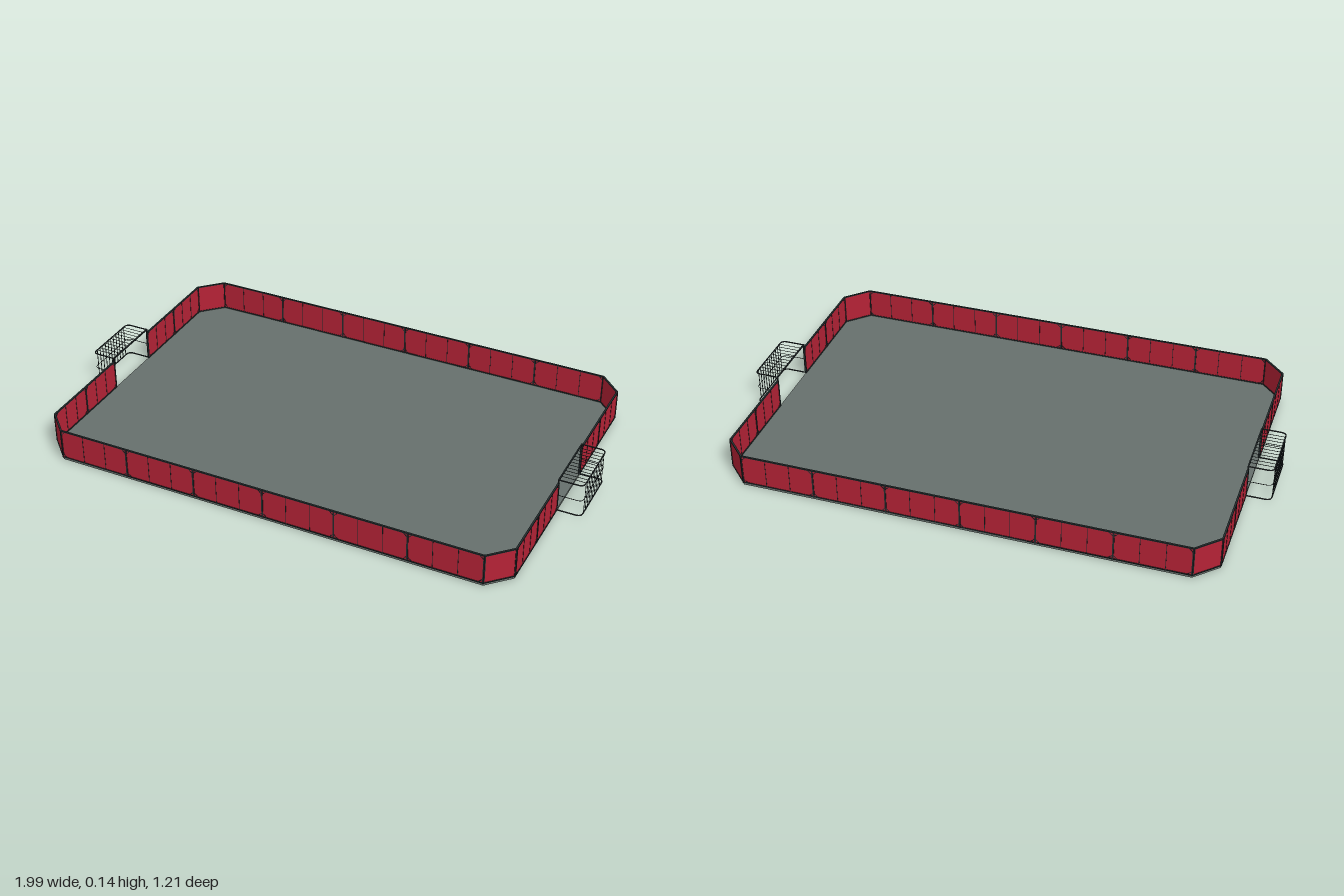
import * as THREE from 'three';

const red = new THREE.MeshStandardMaterial({ color: 0xb52236 });
red.name = 'red panel';
const dark = new THREE.MeshStandardMaterial({ color: 0x232b2d });
dark.name = 'dark steel';
const grey = new THREE.MeshStandardMaterial({ color: 0x66706c });
grey.name = 'grey floor';

const X = 0.903, Z = 0.603, CUT = 0.08;
const BASE = 0.01, TOP = 0.126, MID = (BASE + TOP) / 2;

function box(parent, name, mat, size, pos, rotZ = 0) {
  const mesh = new THREE.Mesh(new THREE.BoxGeometry(...size), mat);
  mesh.name = name;
  mesh.position.set(...pos);
  mesh.rotation.z = rotZ;
  parent.add(mesh);
}

// One framed fence bay from a to b ([x, z]); bays wider than one sheet get slats and braces
function fenceBay(a, b, sheets) {
  const bay = new THREE.Group();
  bay.name = 'fenceBay';
  const dx = b[0] - a[0], dz = b[1] - a[1], len = Math.hypot(dx, dz);
  bay.position.set((a[0] + b[0]) / 2, 0, (a[1] + b[1]) / 2);
  bay.rotation.y = -Math.atan2(dz, dx);
  box(bay, 'panel', red, [len, TOP - BASE, 0.003], [0, MID, 0]);
  box(bay, 'topRail', dark, [len, 0.004, 0.007], [0, TOP - 0.001, 0]);
  box(bay, 'bottomRail', dark, [len, 0.004, 0.007], [0, BASE + 0.002, 0]);
  for (const s of [-1, 1]) {
    box(bay, 'post', dark, [0.004, TOP - BASE, 0.008], [s * (len / 2 - 0.001), MID, 0]);
    if (sheets === 1) continue;
    for (const v of [-1, 1]) {
      box(bay, 'cornerBrace', dark, [0.022, 0.0025, 0.005],
        [s * (len / 2 - 0.009), MID + v * 0.048, 0], -s * v * Math.PI / 4);
    }
  }
  for (let i = 1; i < sheets; i++) {
    box(bay, 'slat', dark, [0.002, TOP - BASE, 0.005], [-len / 2 + len * i / sheets, MID, 0]);
  }
  return bay;
}

// Goal cage on the +x end
const GX = 0.994, GZ = 0.12, GLOW = 0.012, GHIGH = 0.14, R = 0.02;

function hoop(parent, name, y, radius) {
  const p = (x, z) => new THREE.Vector3(x, y, z);
  const path = new THREE.CurvePath();
  path.add(new THREE.LineCurve3(p(X, GZ), p(GX - R, GZ)));
  path.add(new THREE.QuadraticBezierCurve3(p(GX - R, GZ), p(GX, GZ), p(GX, GZ - R)));
  path.add(new THREE.LineCurve3(p(GX, GZ - R), p(GX, R - GZ)));
  path.add(new THREE.QuadraticBezierCurve3(p(GX, R - GZ), p(GX, -GZ), p(GX - R, -GZ)));
  path.add(new THREE.LineCurve3(p(GX - R, -GZ), p(X, -GZ)));
  const mesh = new THREE.Mesh(new THREE.TubeGeometry(path, 80, radius, 6), dark);
  mesh.name = name;
  parent.add(mesh);
}

function goal() {
  const g = new THREE.Group();
  g.name = 'goal';
  const h = GHIGH - GLOW, my = (GHIGH + GLOW) / 2;
  hoop(g, 'goalTopFrame', GHIGH, 0.0025);
  hoop(g, 'goalMiddleBar', 0.075, 0.0012);
  hoop(g, 'goalBottomFrame', GLOW, 0.0025);
  box(g, 'crossbar', dark, [0.005, 0.005, 2 * GZ], [X, GHIGH, 0]);
  for (const s of [-1, 1]) {
    box(g, 'goalPost', dark, [0.005, h + 0.004, 0.005], [X, my, s * GZ]);
  }
  for (let i = -5; i <= 5; i++) {
    const z = i * 0.019;
    box(g, 'backBar', dark, [0.002, h, 0.002], [GX, my, z]);
    box(g, 'roofBar', dark, [GX - X, 0.0015, 0.0015], [(X + GX) / 2, GHIGH, z]);
  }
  return g;
}

export function createModel() {
  const model = new THREE.Group();
  model.name = 'sportsCourt';

  // Floor slab with cut corners
  const outline = new THREE.Shape([
    [X, Z - CUT], [X - CUT, Z], [CUT - X, Z], [-X, Z - CUT],
    [-X, CUT - Z], [CUT - X, -Z], [X - CUT, -Z], [X, CUT - Z],
  ].map(([x, z]) => new THREE.Vector2(x, z)));
  const slab = new THREE.ExtrudeGeometry(outline, { depth: BASE, bevelEnabled: false });
  slab.rotateX(-Math.PI / 2);
  const floor = new THREE.Mesh(slab, grey);
  floor.name = 'floor';
  model.add(floor);

  // Long sides: six bays each
  const step = (X - CUT) / 3;
  for (const s of [-1, 1]) {
    for (let i = -3; i < 3; i++) {
      model.add(fenceBay([i * step, s * Z], [(i + 1) * step, s * Z], 3));
    }
    // Ends and cut corners, leaving the goal mouth open
    for (const t of [-1, 1]) {
      model.add(fenceBay([s * X, t * GZ], [s * X, t * 0.322], 3));
      model.add(fenceBay([s * X, t * 0.322], [s * X, t * (Z - CUT)], 3));
      model.add(fenceBay([s * X, t * (Z - CUT)], [s * (X - CUT), t * Z], 1));
    }
  }

  // Goals at both ends
  for (const turn of [0, Math.PI]) {
    const g = goal();
    g.rotation.y = turn;
    model.add(g);
  }
  return model;
}
